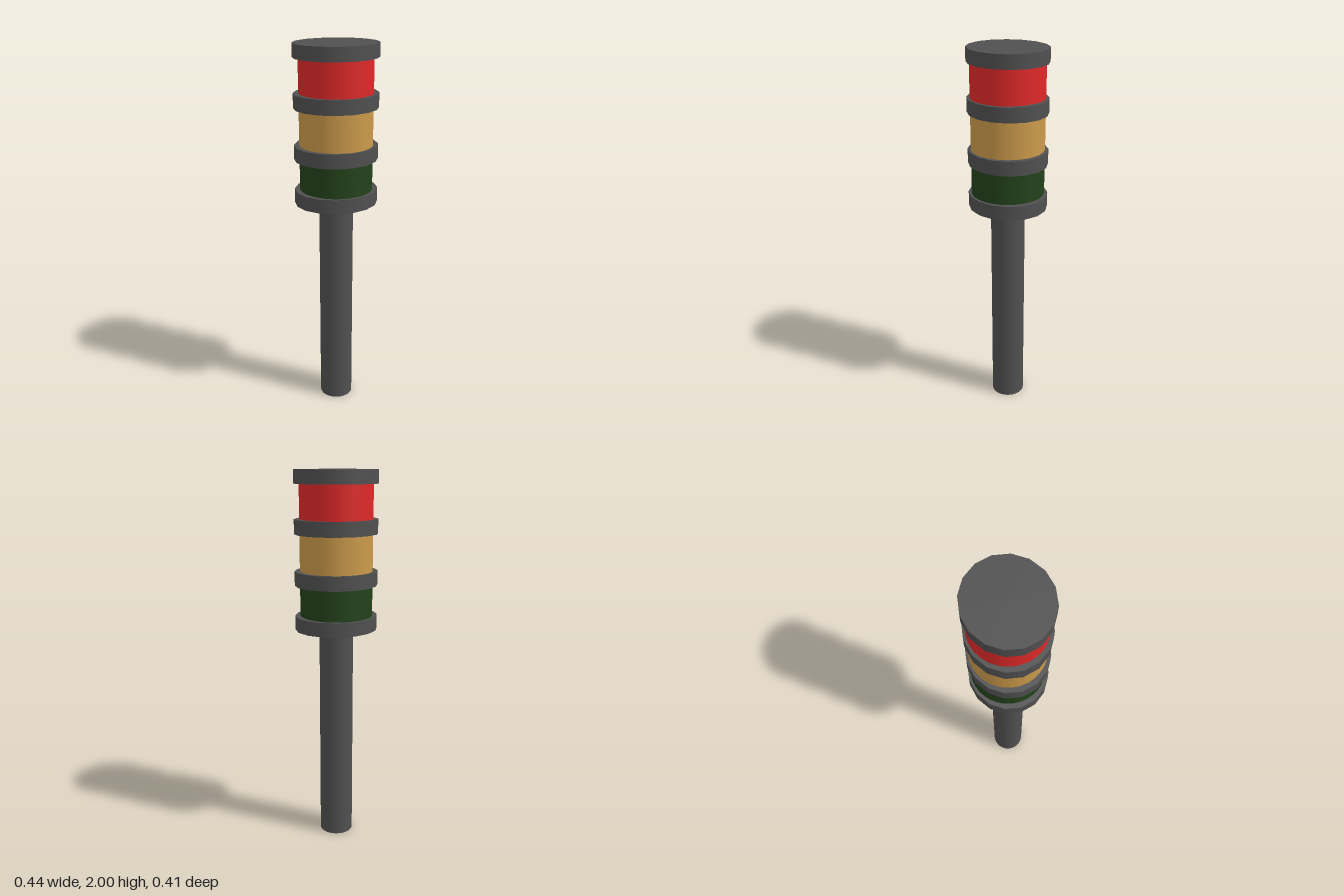
import * as THREE from 'three';

export function createModel() {
  const model = new THREE.Group();
  model.name = 'signalTower';
  const material = (color) => new THREE.MeshStandardMaterial({ color });
  const dark = material(0x505050);

  // Upright cylinder between two heights
  function addCylinder(name, radius, bottom, top, sides, mat) {
    const geometry = new THREE.CylinderGeometry(radius, radius, top - bottom, sides);
    const mesh = new THREE.Mesh(geometry, mat);
    mesh.name = name;
    mesh.position.y = (bottom + top) / 2;
    model.add(mesh);
    return mesh;
  }

  // Support pole
  addCylinder('pole', 0.09, 0, 1.18, 32, dark);

  // Slightly oval collars: base, two separators and the cap
  const collars = [
    ['baseCollar', 1.18, 1.255],
    ['lowerCollar', 1.415, 1.49],
    ['upperCollar', 1.68, 1.755],
    ['topCap', 1.93, 2],
  ];
  for (const [name, bottom, top] of collars) {
    addCylinder(name, 0.22, bottom, top, 16, dark).scale.z = 0.93;
  }

  // Coloured lamps between neighbouring collars
  const lamps = [
    ['greenLamp', 0x23421b],
    ['amberLamp', 0xcb9a4a],
    ['redLamp', 0xe02828],
  ];
  lamps.forEach(([name, color], i) => {
    addCylinder(name, 0.19, collars[i][2], collars[i + 1][1], 32, material(color));
  });

  return model;
}
